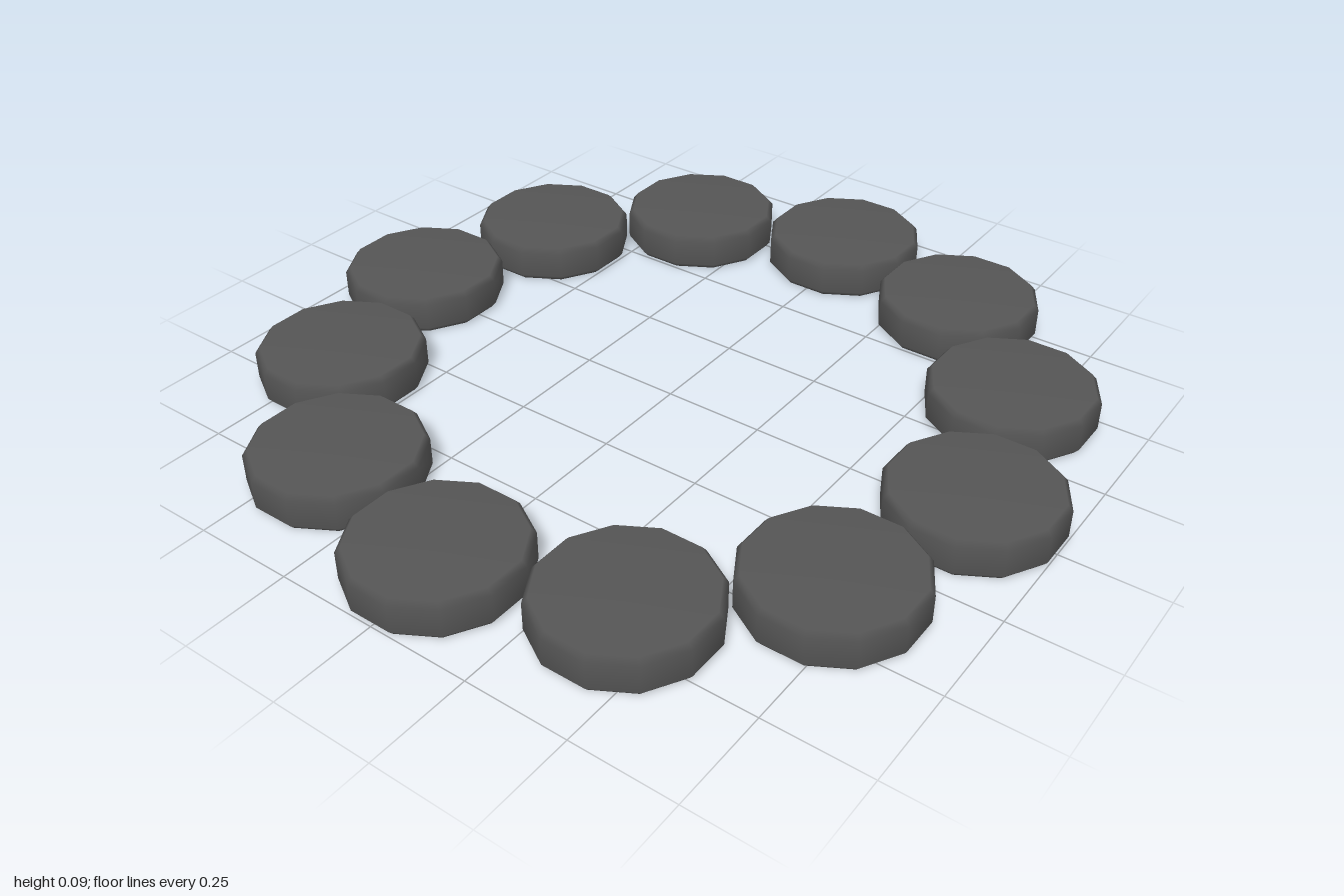
import * as THREE from 'three';

const COUNT = 12;      // discs in the ring, and sides of each disc
const RING = 0.803;    // distance from the ring centre to each disc centre
const APOTHEM = 0.197; // half the width of a disc across its flats
const HEIGHT = 0.095;

export function createModel() {
  const group = new THREE.Group();
  group.name = 'discRing';
  const material = new THREE.MeshStandardMaterial({ color: 0x555555 });

  // Disc profile with small bevels at both rims
  const r = APOTHEM / Math.cos(Math.PI / COUNT);
  const profile = [
    [0, 0], [r - 0.012, 0], [r, 0.014],
    [r, HEIGHT - 0.014], [r - 0.012, HEIGHT], [0, HEIGHT],
  ].map(([x, y]) => new THREE.Vector2(x, y));
  // Half a segment of turn puts a flat side towards the ring centre
  const geometry = new THREE.LatheGeometry(profile, COUNT, Math.PI / COUNT);

  // Discs laid flat, side by side around the ring
  for (let i = 0; i < COUNT; i++) {
    const angle = (i / COUNT) * Math.PI * 2;
    const disc = new THREE.Mesh(geometry, material);
    disc.name = `disc${i + 1}`;
    disc.position.set(Math.sin(angle) * RING, 0, Math.cos(angle) * RING);
    disc.rotation.y = angle;
    group.add(disc);
  }
  return group;
}
